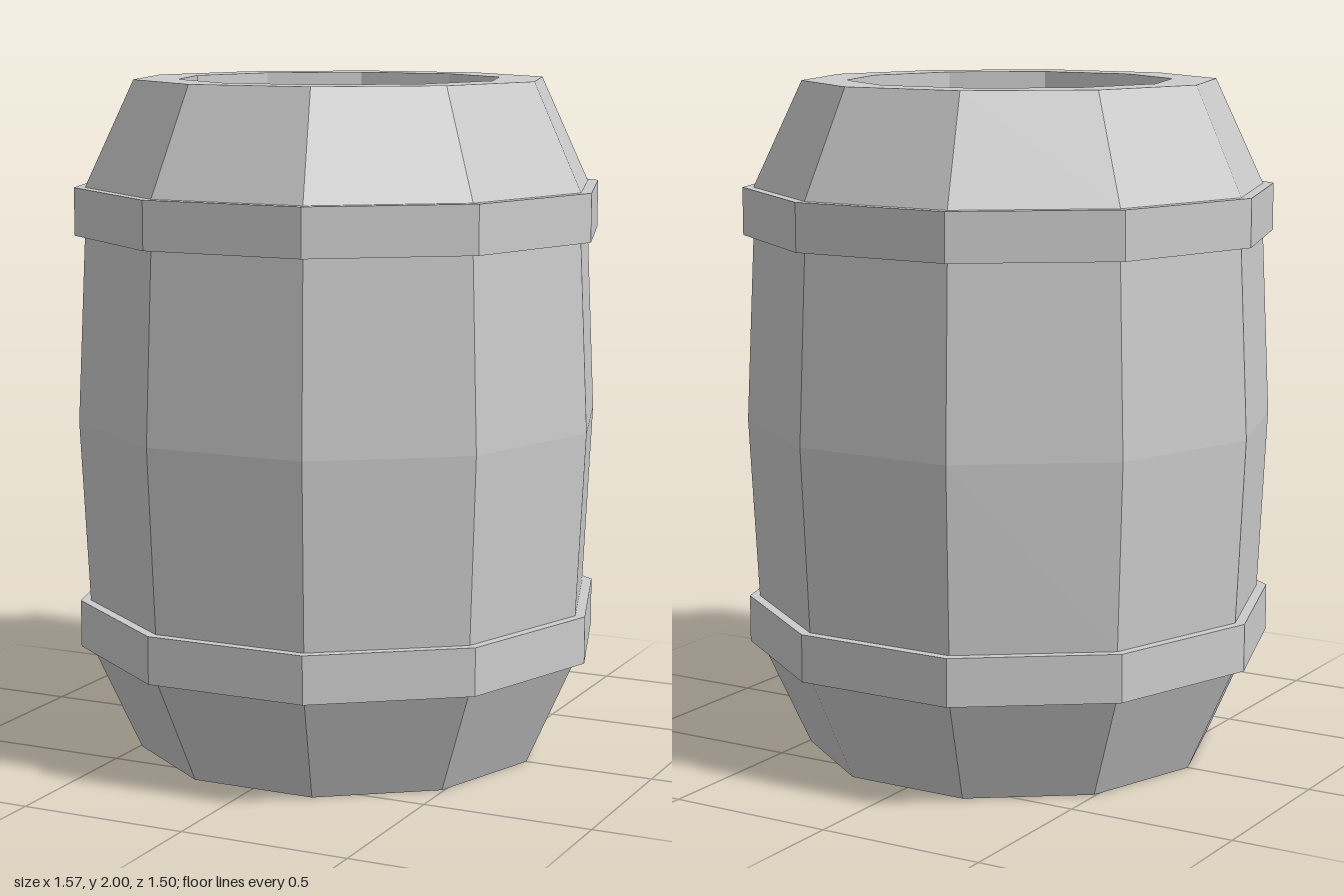
import * as THREE from 'three';

const SIDES = 10;
const material = new THREE.MeshStandardMaterial({ color: 0xcccccc, flatShading: true });

// Ten-sided turned solid with a corner on the x axis
function turned(name, profile) {
  const points = profile.map(([r, y]) => new THREE.Vector2(r, y));
  const geometry = new THREE.LatheGeometry(points, SIDES, Math.PI / 2);
  const mesh = new THREE.Mesh(geometry, material);
  mesh.name = name;
  return mesh;
}

export function createModel() {
  const barrel = new THREE.Group();
  barrel.name = 'barrel';

  // Bulging staves with a shallow recess below and a deeper one on top
  barrel.add(turned('barrelBody', [
    [0, 0.125], [0.48, 0.125], [0.48, 0],
    [0.61, 0], [0.755, 0.32], [0.757, 0.46],
    [0.783, 1],
    [0.757, 1.55], [0.755, 1.69], [0.61, 2],
    [0.48, 2], [0.48, 1.755], [0, 1.755],
  ]));

  // Hoops around the staves
  const inner = 0.74, outer = 0.787, height = 0.14;
  for (const [name, y] of [['lowerHoop', 0.32], ['upperHoop', 1.55]]) {
    barrel.add(turned(name, [
      [inner, y], [outer, y], [outer, y + height], [inner, y + height], [inner, y],
    ]));
  }

  return barrel;
}
